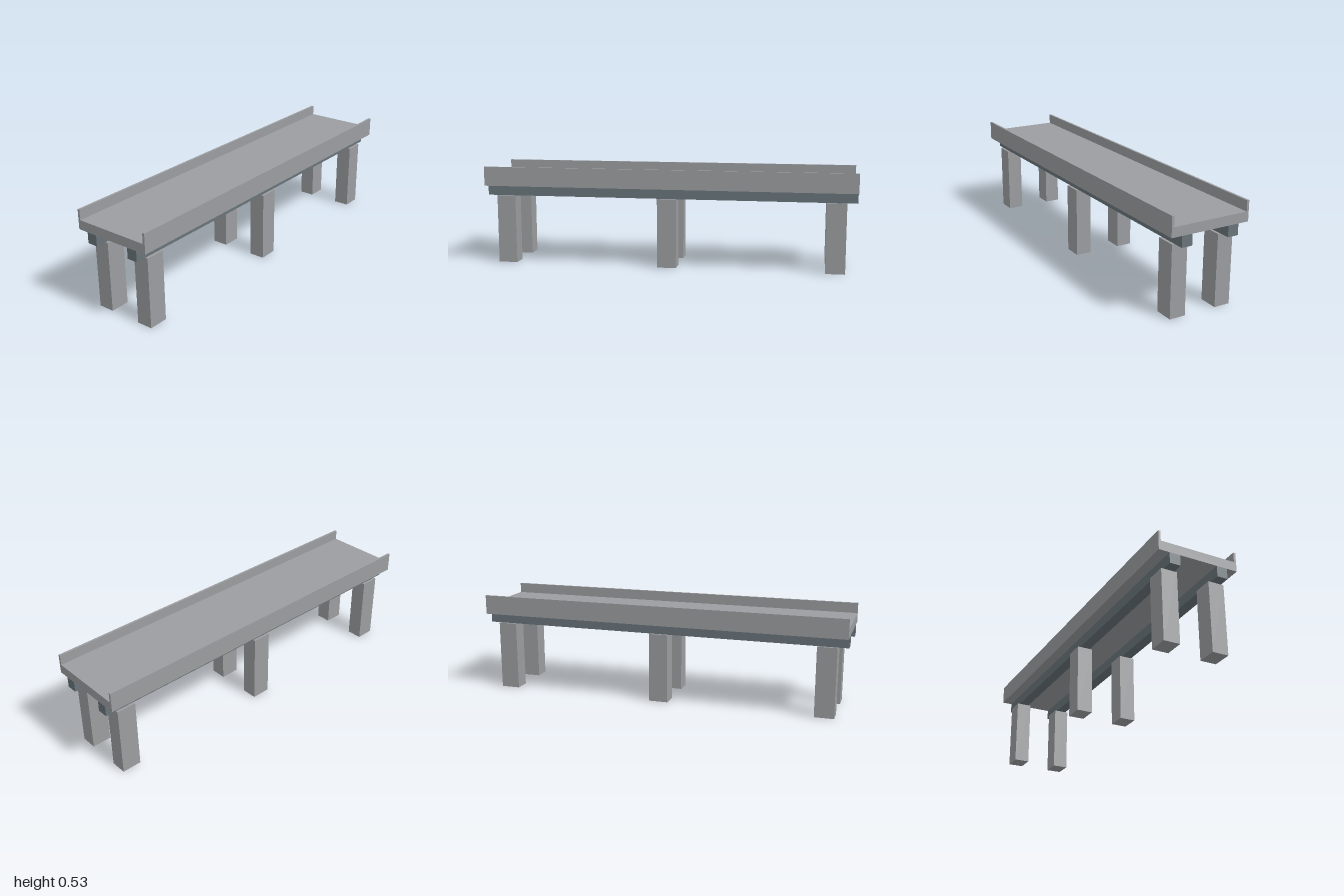
import * as THREE from 'three';

export function createModel() {
  const bridge = new THREE.Group();
  bridge.name = 'beamBridge';
  const concrete = new THREE.MeshStandardMaterial({ color: 0x9b9da0 });
  concrete.name = 'concrete';
  const steel = new THREE.MeshStandardMaterial({ color: 0x68747a });
  steel.name = 'girder steel';

  const length = 2, halfWidth = 0.214, parapet = 0.012;
  const pierTop = 0.373, deckBottom = 0.43, deckTop = 0.48, parapetTop = 0.534;

  function box(name, material, size, x, y, z) {
    const mesh = new THREE.Mesh(new THREE.BoxGeometry(...size), material);
    mesh.name = name;
    mesh.position.set(x, y, z);
    bridge.add(mesh);
  }

  // Deck and both parapets: one trough section swept along the span
  const inner = halfWidth - parapet;
  const section = new THREE.Shape([
    [-halfWidth, deckBottom], [halfWidth, deckBottom], [halfWidth, parapetTop], [inner, parapetTop],
    [inner, deckTop], [-inner, deckTop], [-inner, parapetTop], [-halfWidth, parapetTop],
  ].map(([z, y]) => new THREE.Vector2(z, y)));
  const deckGeometry = new THREE.ExtrudeGeometry(section, { depth: length, bevelEnabled: false });
  deckGeometry.translate(0, 0, -length / 2).rotateY(Math.PI / 2);
  const deck = new THREE.Mesh(deckGeometry, concrete);
  deck.name = 'deckWithParapets';
  bridge.add(deck);

  // Girders along each side, carried on three pairs of piers
  for (const side of [1, -1]) {
    const name = side > 0 ? 'front' : 'back';
    const z = side * 0.129;
    box(name + 'Girder', steel, [length, deckBottom - pierTop, 0.057], 0, (deckBottom + pierTop) / 2, z);
    [-0.893, 0, 0.893].forEach((x, i) =>
      box(name + 'Pier' + (i + 1), concrete, [0.103, pierTop, 0.085], x, pierTop / 2, z));
  }
  return bridge;
}
